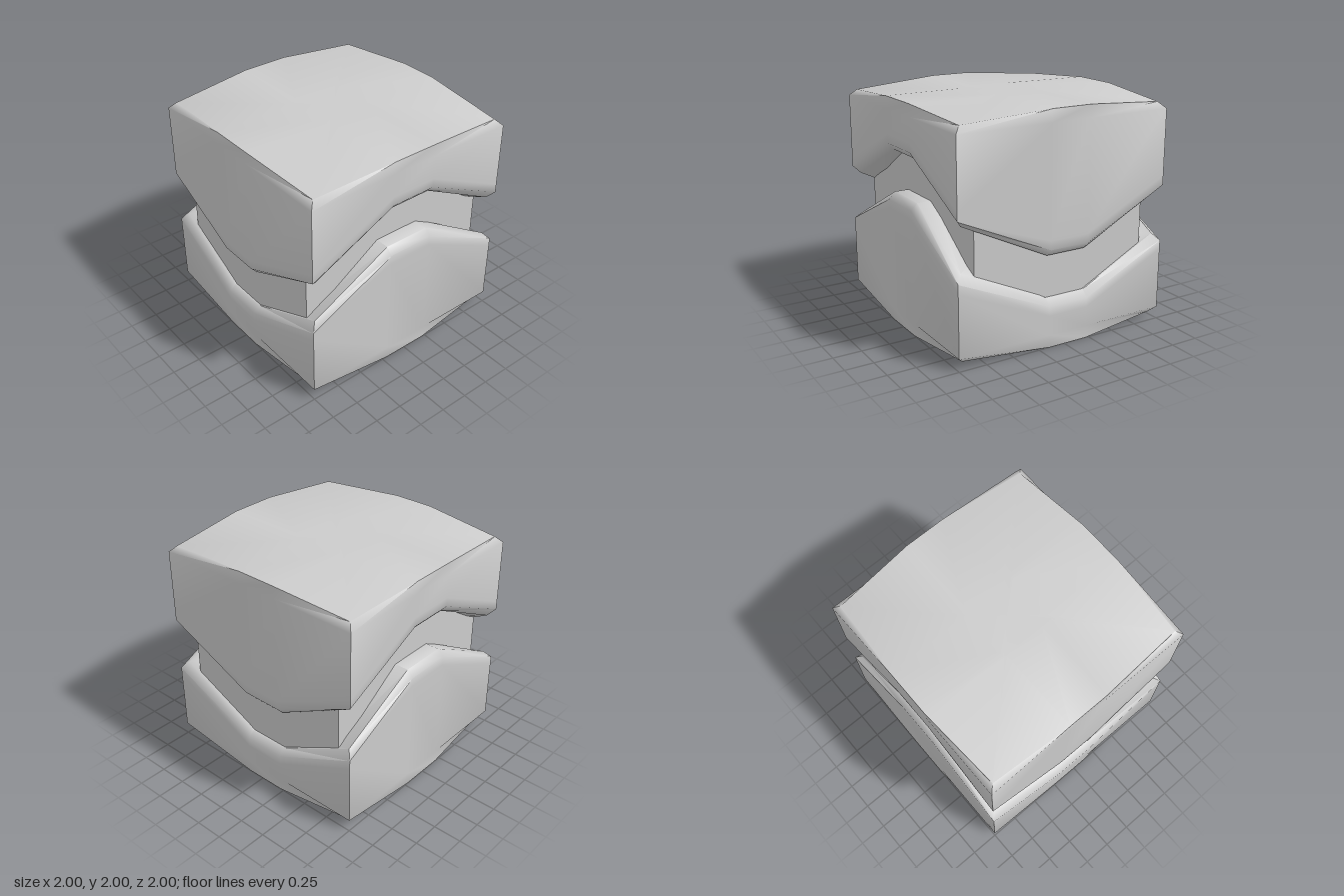
import * as THREE from 'three';
import { toCreasedNormals } from 'three/addons/utils/BufferGeometryUtils.js';

const BEVEL = 0.055;
const material = new THREE.MeshStandardMaterial({ color: 0xcccccc });

// Outline seen from above: four corners, two kinks on each side.
const OUTLINE = [
  { type: 'corner', x: -1, z: 1 },
  { type: 'front', x: -0.22, z: 1 }, { type: 'front', x: 0.15, z: 1 },
  { type: 'corner', x: 1, z: 1 },
  { type: 'side', x: 1, z: 0.2 }, { type: 'side', x: 1, z: -0.22 },
  { type: 'corner', x: 1, z: -1 },
  { type: 'front', x: 0.15, z: -1 }, { type: 'front', x: -0.22, z: -1 },
  { type: 'corner', x: -1, z: -1 },
  { type: 'side', x: -1, z: -0.22 }, { type: 'side', x: -1, z: 0.2 },
];

// One half of the cube, from its cap to the wavy groove.
// dir is 1 for the upper half and -1 for the lower; lip holds groove heights.
function makeHalf(name, capY, dir, lip) {
  const capCorner = (p) => (p.type === 'corner' ? 1 : 0);
  const rows = [
    { k: () => 0, y: () => capY },
    { k: () => 0.25, y: () => capY },
    { k: (p) => 1 - BEVEL * capCorner(p), y: (p) => capY - dir * BEVEL * capCorner(p) },
    { k: () => 1, y: () => capY - dir * 0.11 },
    { k: () => 1, y: (p) => lip[p.type] + dir * 0.14 },
    { k: () => 1, y: (p) => lip[p.type] + dir * 0.06 },
    { k: () => 1 - BEVEL, y: (p) => lip[p.type] },
    { k: () => 0.78, y: (p) => lip[p.type] },
  ];

  const clamp = THREE.MathUtils.clamp;
  const positions = [];
  for (const row of rows) {
    for (const p of OUTLINE) {
      const k = row.k(p);
      positions.push(clamp(p.x, -k, k), row.y(p), clamp(p.z, -k, k));
    }
  }

  const n = OUTLINE.length;
  const index = [];
  const face = (a, b, c) => (dir > 0 ? index.push(a, b, c) : index.push(a, c, b));
  for (let i = 0; i < rows.length - 1; i++) {
    for (let j = 0; j < n; j++) {
      const a = i * n + j;
      const b = i * n + ((j + 1) % n);
      if (i > 0) face(a, a + n, b);
      face(b, a + n, b + n);
    }
  }

  const geometry = new THREE.BufferGeometry();
  geometry.setAttribute('position', new THREE.Float32BufferAttribute(positions, 3));
  geometry.setIndex(index);
  const mesh = new THREE.Mesh(toCreasedNormals(geometry, THREE.MathUtils.degToRad(52)), material);
  mesh.name = name;
  return mesh;
}

export function createModel() {
  const group = new THREE.Group();
  group.name = 'splitCube';

  // Interlocking halves separated by an even wavy gap
  group.add(makeHalf('upperHalf', 2, 1, { front: 0.79, side: 1.54, corner: 1.17 }));
  group.add(makeHalf('lowerHalf', 0, -1, { front: 0.42, side: 1.17, corner: 0.79 }));

  // Inner core visible in the gap
  const core = new THREE.Mesh(new THREE.BoxGeometry(1.64, 1.3, 1.86), material);
  core.name = 'core';
  core.position.y = 0.98;
  group.add(core);

  return group;
}
